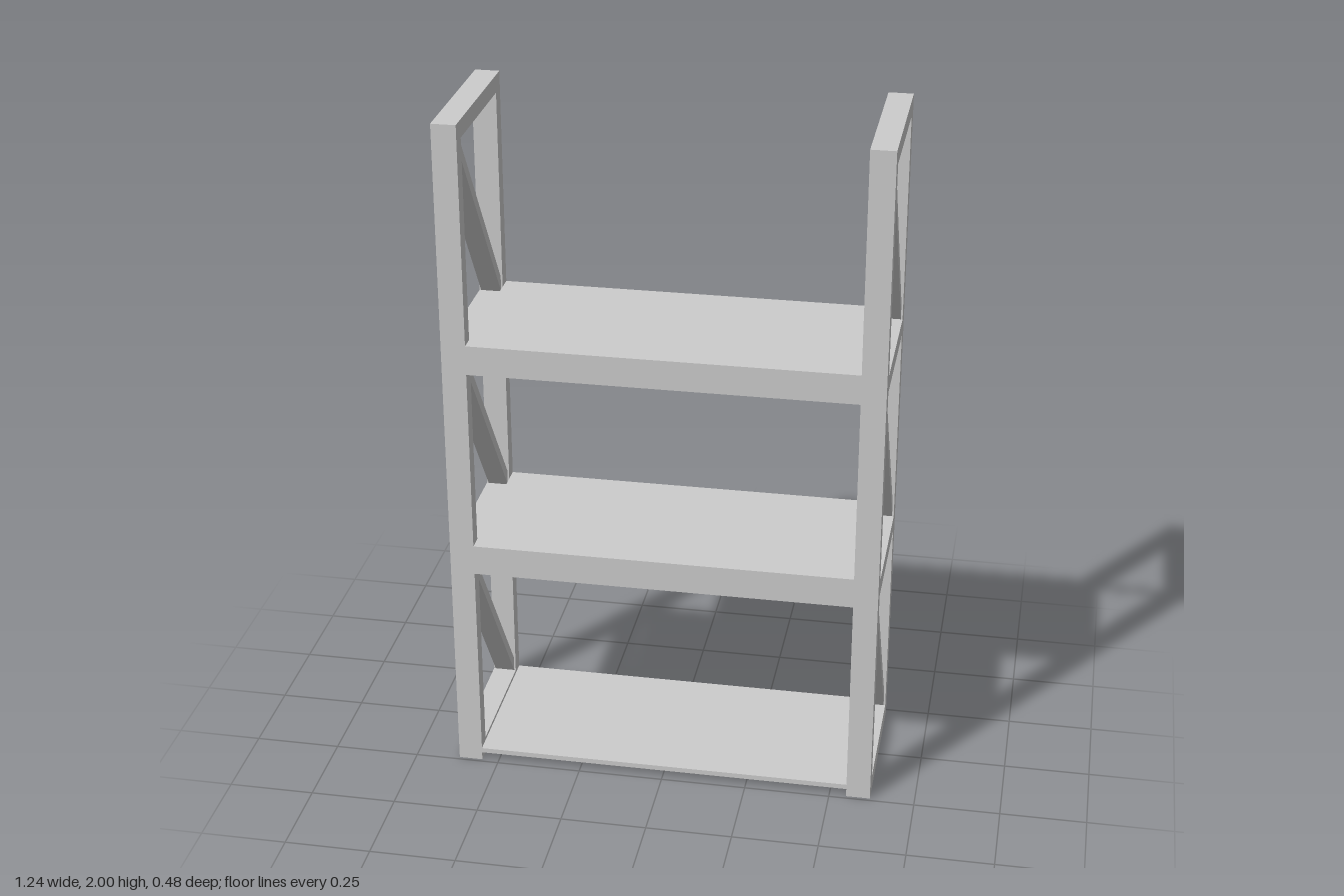
import * as THREE from 'three';

const material = new THREE.MeshStandardMaterial({ color: 0xcccccc, flatShading: true });

// Outer half sizes and section sizes
const X_IN = 0.55, X_OUT = 0.62, Z_IN = 0.195, Z_OUT = 0.24;

// Box given by its lower and upper corners
function box(name, [x0, y0, z0], [x1, y1, z1]) {
  const mesh = new THREE.Mesh(new THREE.BoxGeometry(x1 - x0, y1 - y0, z1 - z0), material);
  mesh.name = name;
  mesh.position.set((x0 + x1) / 2, (y0 + y1) / 2, (z0 + z1) / 2);
  return mesh;
}

// Slanted bar from the top front to the bottom back of one bay
function brace(bottom, top) {
  const t = 0.047, width = 0.06;
  const shape = new THREE.Shape([
    new THREE.Vector2(-Z_IN, top - t),
    new THREE.Vector2(Z_IN, bottom),
    new THREE.Vector2(Z_IN, bottom + t),
    new THREE.Vector2(-Z_IN, top),
  ]);
  const geometry = new THREE.ExtrudeGeometry(shape, { depth: width, bevelEnabled: false });
  geometry.translate(0, 0, -width / 2).rotateY(Math.PI / 2);
  const mesh = new THREE.Mesh(geometry, material);
  mesh.name = 'diagonalBrace';
  return mesh;
}

// Ladder-like end frame, centred on its own x
function endFrame(name) {
  const frame = new THREE.Group();
  frame.name = name;
  const h = (X_OUT - X_IN) / 2;
  frame.add(box('frontPost', [-h, 0, Z_IN], [h, 2, Z_OUT]));
  frame.add(box('backPost', [-h, 0, -Z_OUT], [h, 2, -Z_IN]));
  const rails = [[0, 0.05], [0.66, 0.71], [1.295, 1.345], [1.95, 2]];
  rails.forEach(([y0, y1], i) => {
    frame.add(box('sideRail', [-h, y0, -Z_IN], [h, y1, Z_IN]));
    if (i > 0) frame.add(brace(rails[i - 1][1], y0));
  });
  return frame;
}

export function createModel() {
  const model = new THREE.Group();
  model.name = 'shelfRack';

  for (const side of [-1, 1]) {
    const frame = endFrame(side > 0 ? 'leftEndFrame' : 'rightEndFrame');
    frame.position.x = side * (X_IN + X_OUT) / 2;
    model.add(frame);
  }

  // Bottom shelf is a bare panel
  model.add(box('bottomShelf', [-X_IN, 0.025, -Z_OUT], [X_IN, 0.04, Z_OUT]));

  // Upper shelves rest on a front and a back beam
  for (const [y0, y1] of [[0.64, 0.73], [1.273, 1.36]]) {
    const shelf = new THREE.Group();
    shelf.name = 'shelf';
    const under = y1 - 0.016;
    shelf.add(box('shelfPanel', [-X_IN, under, -Z_OUT], [X_IN, y1, Z_OUT]));
    shelf.add(box('frontBeam', [-X_IN, y0, Z_IN], [X_IN, under, Z_OUT]));
    shelf.add(box('backBeam', [-X_IN, y0, -Z_OUT], [X_IN, under, -Z_IN]));
    model.add(shelf);
  }
  return model;
}
